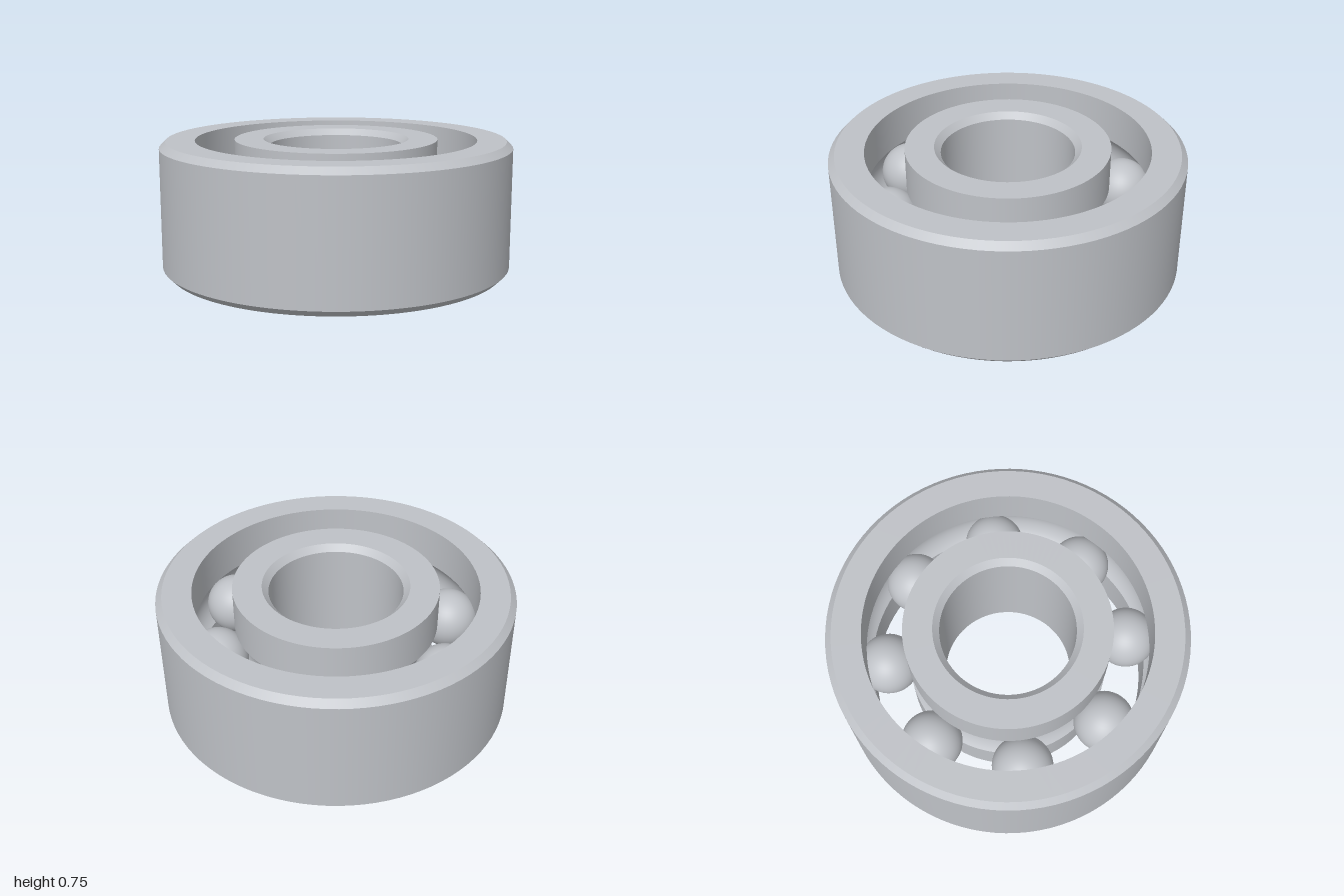
import * as THREE from 'three';
import { mergeGeometries } from 'three/addons/utils/BufferGeometryUtils.js';

const H = 0.75, MID = H / 2;           // ring height
const R_OUT = 1, R_BORE = 0.377;       // outside and bore radii
const R_IN = 0.577, R_RACE = 0.8;      // facing walls of the two rings
const PITCH = (R_IN + R_RACE) / 2, BALL = 0.172, GROOVE = 0.174, CH = 0.036;
const SEGMENTS = 96;

// Lathe each profile section separately so the edges between them stay sharp
function latheSections(sections) {
  return mergeGeometries(sections.map(points =>
    new THREE.LatheGeometry(points.map(([r, y]) => new THREE.Vector2(r, y)), SEGMENTS)));
}

// Join corner points into straight sections
function straight(points) {
  return points.slice(1).map((p, i) => [points[i], p]);
}

// Rounded ball track cut into a wall: side -1 = inner ring, +1 = outer ring
function groove(wall, side) {
  const half = Math.acos(Math.abs(wall - PITCH) / GROOVE);
  const points = [];
  for (let i = 0; i <= 16; i++) {
    const a = half * (1 - i / 8);
    points.push([PITCH + side * GROOVE * Math.cos(a), MID + side * GROOVE * Math.sin(a)]);
  }
  points[0][0] = points[16][0] = wall;
  return points;
}

export function createModel() {
  const model = new THREE.Group();
  model.name = 'ballBearing';
  const steel = new THREE.MeshStandardMaterial({ color: 0xbfc2c7 });
  steel.name = 'steel grey';

  const add = (name, geometry) => {
    const mesh = new THREE.Mesh(geometry, steel);
    mesh.name = name;
    model.add(mesh);
    return mesh;
  };

  // Outer ring: chamfered outside, grooved inside
  const outerTrack = groove(R_RACE, 1);
  add('outerRing', latheSections([
    ...straight([
      [R_RACE, 0], [R_OUT - CH, 0], [R_OUT, CH], [R_OUT, H - CH],
      [R_OUT - CH, H], [R_RACE, H], outerTrack[0],
    ]),
    outerTrack,
    [outerTrack[16], [R_RACE, 0]],
  ]));

  // Inner ring: grooved outside, chamfered bore
  const innerTrack = groove(R_IN, -1);
  add('innerRing', latheSections([
    [[R_IN, 0], innerTrack[0]],
    innerTrack,
    ...straight([
      innerTrack[16], [R_IN, H], [R_BORE + CH, H], [R_BORE, H - CH],
      [R_BORE, CH], [R_BORE + CH, 0], [R_IN, 0],
    ]),
  ]));

  // Eight balls between the rings
  const ballGeometry = new THREE.SphereGeometry(BALL, 40, 24);
  for (let i = 0; i < 8; i++) {
    const a = i * Math.PI / 4;
    add(`ball${i + 1}`, ballGeometry)
      .position.set(PITCH * Math.cos(a), MID, PITCH * Math.sin(a));
  }
  return model;
}
